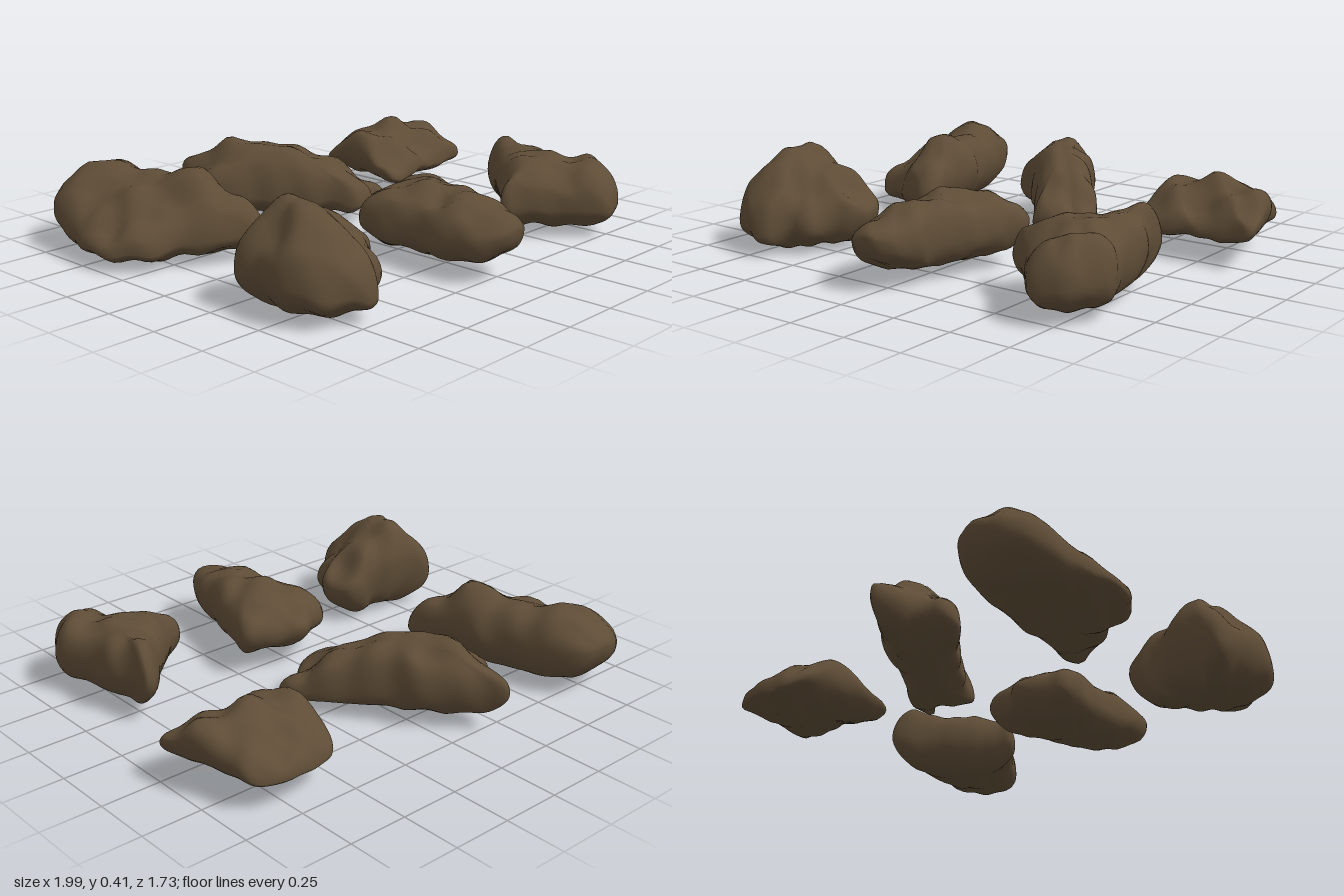
import * as THREE from 'three';
import { mergeVertices } from 'three/addons/utils/BufferGeometryUtils.js';

const stone = new THREE.MeshStandardMaterial({ color: 0x5e4c36 });
stone.name = 'brown stone';

const SEGMENTS = 80, RINGS = 16;

// Gentle lumps shared by all rocks
const lumps = (x, y, z) =>
  0.008 * Math.sin(23 * x + 9 * z + 4 * y) * Math.sin(19 * z - 11 * y + 1) +
  0.006 * Math.sin(41 * z - 17 * x) * Math.cos(37 * x + 13 * y);

// Height at (x, z), blended from a few crest points [x, z, y]
function crestHeight(crest, x, z) {
  let sum = 0, total = 0;
  for (const [cx, cz, cy] of crest) {
    const w = 1 / (((x - cx) ** 2 + (z - cz) ** 2) ** 1.5 + 0.00015);
    sum += w * cy;
    total += w;
  }
  return sum / total;
}

// A rock: widest outline [x, z, y] clockwise from above, crest points and base height
function rock(name, [cx, cz], base, outline, crest) {
  const curve = new THREE.CatmullRomCurve3(
    outline.map(([x, z, y]) => new THREE.Vector3(x, y, z)), true, 'centripetal');
  const rim = curve.getSpacedPoints(SEGMENTS).slice(0, SEGMENTS);
  const middleY = rim.reduce((s, p) => s + p.y, 0) / SEGMENTS;
  const position = [], index = [];
  const rows = RINGS * 2;
  for (let i = 0; i <= rows; i++) {
    const angle = (i / rows) * Math.PI;
    const t = i === 0 || i === rows ? 0 : Math.sin(angle);
    const upper = i < RINGS;
    const rise = Math.sqrt(Math.max(0, 1 - t ** (upper ? 4.5 : 3)));
    for (const p of rim) {
      const x = cx + (p.x - cx) * t, z = cz + (p.z - cz) * t;
      const edgeY = middleY + (p.y - middleY) * t;
      const goal = upper ? crestHeight(crest, x, z) : base;
      const y = edgeY + (goal - edgeY) * rise;
      const n = lumps(x, y, z);
      position.push(x + n * t * 0.6, Math.max(0, y + n), z - n * t * 0.6);
    }
  }
  for (let i = 0; i < rows; i++) {
    for (let j = 0; j < SEGMENTS; j++) {
      const k = (j + 1) % SEGMENTS;
      const a = i * SEGMENTS + j, b = i * SEGMENTS + k;
      const c = a + SEGMENTS, d = b + SEGMENTS;
      if (i > 0) index.push(a, b, c);
      if (i < rows - 1) index.push(b, d, c);
    }
  }
  let geometry = new THREE.BufferGeometry();
  geometry.setAttribute('position', new THREE.Float32BufferAttribute(position, 3));
  geometry.setIndex(index);
  geometry = mergeVertices(geometry, 1e-5);
  geometry.computeVertexNormals();
  const mesh = new THREE.Mesh(geometry, stone);
  mesh.name = name;
  return mesh;
}

export function createModel() {
  const group = new THREE.Group();
  group.name = 'rocks';
  group.add(
    // Long rock with a peak near each end
    rock('backRightRock', [-0.73, -0.45], 0.02, [
      [-1, -0.4, 0.07], [-0.97, -0.6, 0.1], [-0.93, -0.78, 0.15], [-0.85, -0.85, 0.19],
      [-0.75, -0.87, 0.21], [-0.64, -0.85, 0.21], [-0.57, -0.72, 0.2], [-0.53, -0.52, 0.18],
      [-0.49, -0.4, 0.18], [-0.48, -0.22, 0.17], [-0.44, -0.08, 0.13], [-0.47, -0.03, 0.11],
      [-0.56, -0.05, 0.11], [-0.68, -0.12, 0.11], [-0.75, -0.18, 0.1], [-0.92, -0.25, 0.07],
    ], [
      [-0.61, -0.29, 0.37], [-0.55, -0.14, 0.28], [-0.72, -0.72, 0.36], [-0.72, -0.83, 0.3],
      [-0.76, -0.46, 0.3], [-0.9, -0.5, 0.21], [-0.85, -0.28, 0.19], [-0.62, -0.52, 0.32],
      [-0.96, -0.42, 0.12], [-0.75, -0.22, 0.22],
    ]),
    // Narrow slanting rock with a broad top
    rock('backMiddleRock', [0, -0.44], 0.05, [
      [-0.2, -0.85, 0.18], [-0.13, -0.77, 0.18], [-0.02, -0.66, 0.19], [0.04, -0.59, 0.18],
      [0.08, -0.5, 0.17], [0.2, -0.34, 0.15], [0.31, -0.2, 0.11], [0.31, -0.09, 0.09],
      [0.24, -0.11, 0.1], [0.18, -0.06, 0.11], [0.1, -0.05, 0.11], [0.05, -0.13, 0.12],
      [-0.07, -0.28, 0.12], [-0.2, -0.42, 0.12], [-0.33, -0.53, 0.12], [-0.33, -0.62, 0.15],
      [-0.26, -0.67, 0.17], [-0.24, -0.77, 0.18],
    ], [
      [-0.2, -0.76, 0.28], [-0.13, -0.58, 0.36], [0, -0.43, 0.34], [0, -0.63, 0.3],
      [0.14, -0.27, 0.29], [0.22, -0.29, 0.25], [0.1, -0.15, 0.23], [0.26, -0.17, 0.17],
      [-0.26, -0.57, 0.26], [0.06, -0.48, 0.31],
    ]),
    // Blocky rock with a level crest
    rock('backLeftRock', [0.73, -0.44], 0.08, [
      [0.47, -0.2, 0.12], [0.48, -0.4, 0.2], [0.49, -0.58, 0.17], [0.53, -0.66, 0.13],
      [0.65, -0.69, 0.12], [0.8, -0.69, 0.12], [0.89, -0.65, 0.14], [0.92, -0.55, 0.18],
      [0.97, -0.42, 0.22], [0.99, -0.3, 0.19], [0.98, -0.23, 0.15], [0.88, -0.24, 0.13],
      [0.7, -0.22, 0.13], [0.55, -0.2, 0.12],
    ], [
      [0.51, -0.43, 0.33], [0.73, -0.44, 0.34], [0.94, -0.43, 0.33],
      [0.52, -0.24, 0.18], [0.75, -0.26, 0.18], [0.95, -0.27, 0.22],
      [0.55, -0.63, 0.2], [0.73, -0.65, 0.19], [0.87, -0.61, 0.22],
      [0.62, -0.34, 0.27], [0.83, -0.34, 0.27], [0.63, -0.54, 0.28], [0.82, -0.54, 0.28],
    ]),
    // Tall peaked rock with a low side lobe
    rock('frontRightRock', [-0.7, 0.46], 0.01, [
      [-0.91, 0.28, 0.15], [-0.86, 0.26, 0.19], [-0.78, 0.28, 0.24], [-0.65, 0.28, 0.22],
      [-0.57, 0.31, 0.2], [-0.5, 0.29, 0.17], [-0.44, 0.31, 0.16], [-0.41, 0.38, 0.16],
      [-0.42, 0.48, 0.15], [-0.48, 0.53, 0.14], [-0.52, 0.63, 0.12], [-0.61, 0.66, 0.12],
      [-0.66, 0.74, 0.1], [-0.78, 0.73, 0.1], [-0.9, 0.65, 0.13], [-0.94, 0.55, 0.15],
      [-0.92, 0.4, 0.16],
    ], [
      [-0.74, 0.36, 0.45], [-0.76, 0.48, 0.43], [-0.76, 0.6, 0.36], [-0.6, 0.42, 0.33],
      [-0.46, 0.4, 0.22], [-0.88, 0.43, 0.27], [-0.83, 0.65, 0.31], [-0.72, 0.7, 0.26],
      [-0.57, 0.61, 0.22], [-0.82, 0.32, 0.33], [-0.64, 0.32, 0.34],
    ]),
    // Long rock narrowing to a rounded front
    rock('frontMiddleRock', [0, 0.47], 0.05, [
      [-0.04, 0.13, 0.17], [0, 0.12, 0.17], [0.08, 0.14, 0.18], [0.17, 0.17, 0.18],
      [0.25, 0.2, 0.18], [0.22, 0.33, 0.17], [0.17, 0.5, 0.16], [0.12, 0.63, 0.16],
      [0.12, 0.7, 0.17], [0.06, 0.82, 0.2], [0, 0.86, 0.21], [-0.08, 0.84, 0.2],
      [-0.15, 0.76, 0.17], [-0.17, 0.65, 0.15], [-0.17, 0.45, 0.14], [-0.2, 0.27, 0.15],
      [-0.18, 0.2, 0.16], [-0.1, 0.17, 0.17],
    ], [
      [-0.03, 0.78, 0.27], [-0.02, 0.62, 0.31], [0, 0.42, 0.32], [0.1, 0.26, 0.32],
      [-0.1, 0.28, 0.29], [-0.12, 0.5, 0.26], [-0.12, 0.72, 0.24], [0.12, 0.47, 0.29],
      [0.2, 0.23, 0.27], [0, 0.16, 0.25],
    ]),
    // Three-cornered rock with raised tips
    rock('frontLeftRock', [0.7, 0.5], 0.03, [
      [0.79, 0.11, 0.18], [0.8, 0.2, 0.19], [0.84, 0.3, 0.18], [0.85, 0.45, 0.17],
      [0.87, 0.52, 0.16], [0.9, 0.6, 0.16], [0.85, 0.7, 0.15], [0.8, 0.77, 0.14],
      [0.7, 0.79, 0.13], [0.63, 0.76, 0.12], [0.58, 0.69, 0.12], [0.5, 0.6, 0.12],
      [0.43, 0.53, 0.14], [0.38, 0.48, 0.15], [0.45, 0.43, 0.16], [0.55, 0.33, 0.17],
      [0.65, 0.23, 0.18], [0.74, 0.13, 0.18],
    ], [
      [0.77, 0.18, 0.36], [0.75, 0.3, 0.32], [0.7, 0.45, 0.33], [0.57, 0.45, 0.32],
      [0.46, 0.48, 0.28], [0.7, 0.6, 0.29], [0.79, 0.65, 0.33], [0.71, 0.71, 0.29],
      [0.6, 0.62, 0.25], [0.82, 0.45, 0.28],
    ]),
  );
  return group;
}
